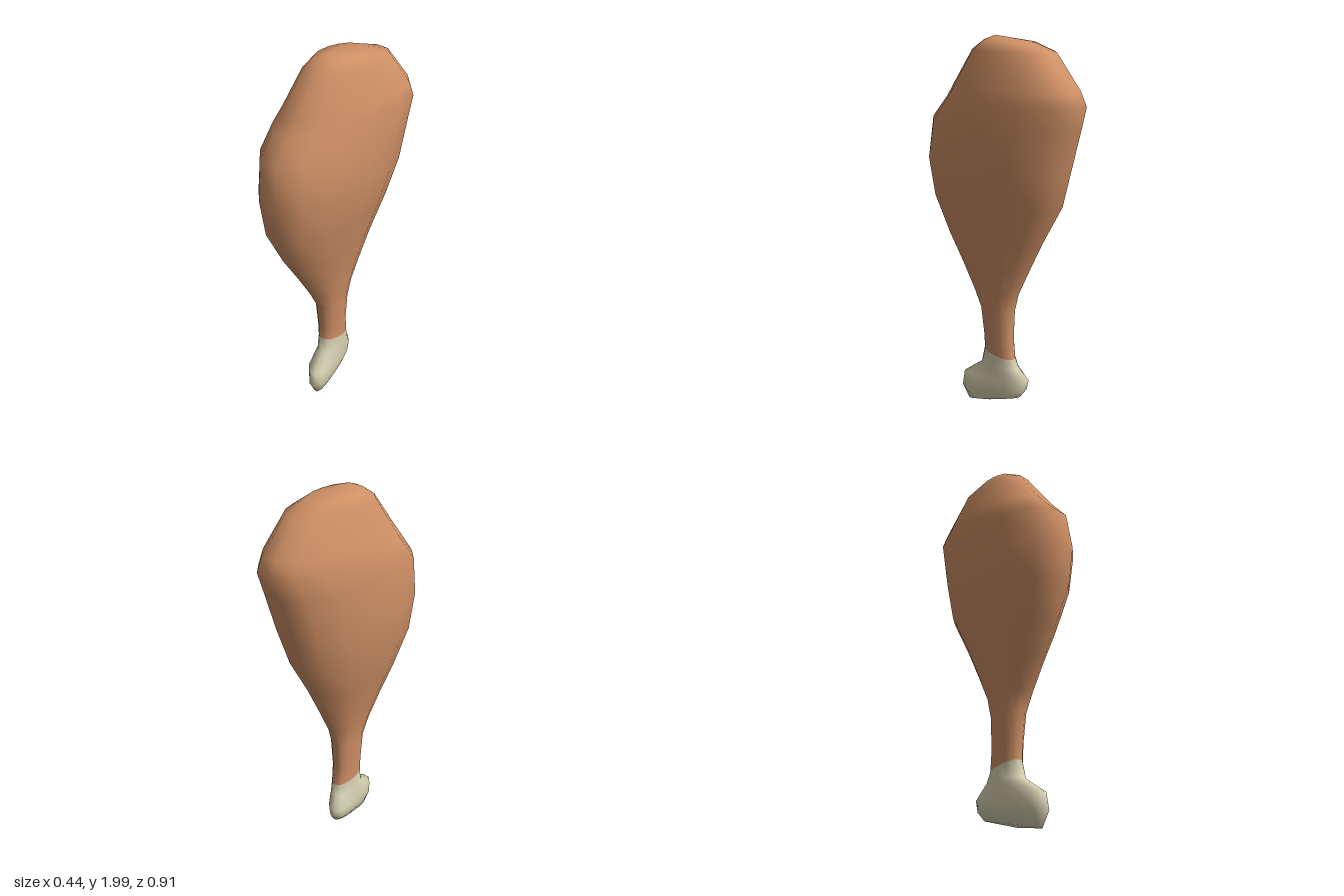
import * as THREE from 'three';

const SIDES = 14;

// Cross-sections from top to bottom: [y, xMin, xMax, zBack, zFront, tilt, shear]
// tilt slopes a ring along z, shear shifts x along z
const MEAT = [
  [1.975, -0.095, 0.09, -0.17, 0.11, 0.02, -0.03],
  [1.93, -0.125, 0.13, -0.30, 0.18, 0, -0.05],
  [1.76, -0.175, 0.18, -0.435, 0.30, 0, -0.06],
  [1.69, -0.20, 0.195, -0.465, 0.35, 0, -0.06],
  [1.58, -0.213, 0.207, -0.435, 0.44, 0, -0.04],
  [1.38, -0.22, 0.215, -0.38, 0.465, 0, -0.02],
  [1.18, -0.20, 0.175, -0.325, 0.44, 0, 0],
  [0.98, -0.15, 0.13, -0.22, 0.35, 0, 0],
  [0.82, -0.11, 0.097, -0.147, 0.26, 0, 0],
  [0.68, -0.08, 0.073, -0.085, 0.185, 0, 0],
  [0.58, -0.07, 0.062, -0.06, 0.14, 0, 0],
  [0.42, -0.064, 0.05, -0.053, 0.125, 0.05, 0],
  [0.322, -0.06, 0.045, -0.065, 0.125, 0.18, 0],
];
const BONE = [
  [0.25, -0.068, 0.05, -0.08, 0.14, 0, 0.08],
  [0.175, -0.085, 0.065, -0.125, 0.24, 0, 0.2],
  [0.105, -0.075, 0.065, -0.115, 0.25, -0.08, 0.22],
  [0.045, -0.04, 0.04, -0.09, 0.215, -0.22, 0.2],
];

// Blunted ellipse ring
function ring([y, x0, x1, z0, z1, tilt, shear], waist) {
  const cx = (x0 + x1) / 2, cz = (z0 + z1) / 2;
  const soften = (v) => Math.sign(v) * Math.abs(v) ** 0.9;
  const points = [];
  for (let i = 0; i < SIDES; i++) {
    const a = (i / SIDES) * Math.PI * 2;
    const dz = soften(Math.sin(a)) * (z1 - z0) / 2;
    const pinch = 1 - waist * Math.sin(a + 0.0) ** 0 * Math.cos(a) ** 4;
    const dx = soften(Math.cos(a)) * (x1 - x0) / 2 * pinch;
    points.push(cx + dx + shear * dz, y + tilt * dz, cz + dz);
  }
  return points;
}

// One continuous skin, so shading flows across the meat and bone border
function loft() {
  const rows = [...MEAT.map((r) => ring(r, 0)),
    ...BONE.map((r, i) => ring(r, i === 0 ? 0 : 0.15))];
  const positions = rows.flat();
  const top = positions.length / 3, bottom = top + 1;
  positions.push(0, 2, 0.05, 0.02, 0.03, 0.08);

  const meat = [], bone = [];
  const last = (rows.length - 1) * SIDES;
  for (let i = 0; i < SIDES; i++) {
    const n = (i + 1) % SIDES;
    meat.push(top, n, i);
    for (let r = 0; r < rows.length - 1; r++) {
      const a = r * SIDES + i, b = r * SIDES + n;
      const target = r < MEAT.length - 1 ? meat : bone;
      target.push(a, b, a + SIDES, b, b + SIDES, a + SIDES);
    }
    bone.push(bottom, last + i, last + n);
  }

  const geometry = new THREE.BufferGeometry();
  geometry.setAttribute('position', new THREE.Float32BufferAttribute(positions, 3));
  geometry.setIndex([...meat, ...bone]);
  geometry.addGroup(0, meat.length, 0);
  geometry.addGroup(meat.length, bone.length, 1);
  geometry.computeVertexNormals();
  return geometry;
}

export function createModel() {
  const roastedMeat = new THREE.MeshStandardMaterial({ color: 0xcf9065 });
  roastedMeat.name = 'roasted meat';
  const paleBone = new THREE.MeshStandardMaterial({ color: 0xd8d2b2 });
  paleBone.name = 'pale bone';

  const group = new THREE.Group();
  group.name = 'drumstick';
  const mesh = new THREE.Mesh(loft(), [roastedMeat, paleBone]);
  mesh.name = 'meatAndBone';
  group.add(mesh);
  return group;
}
